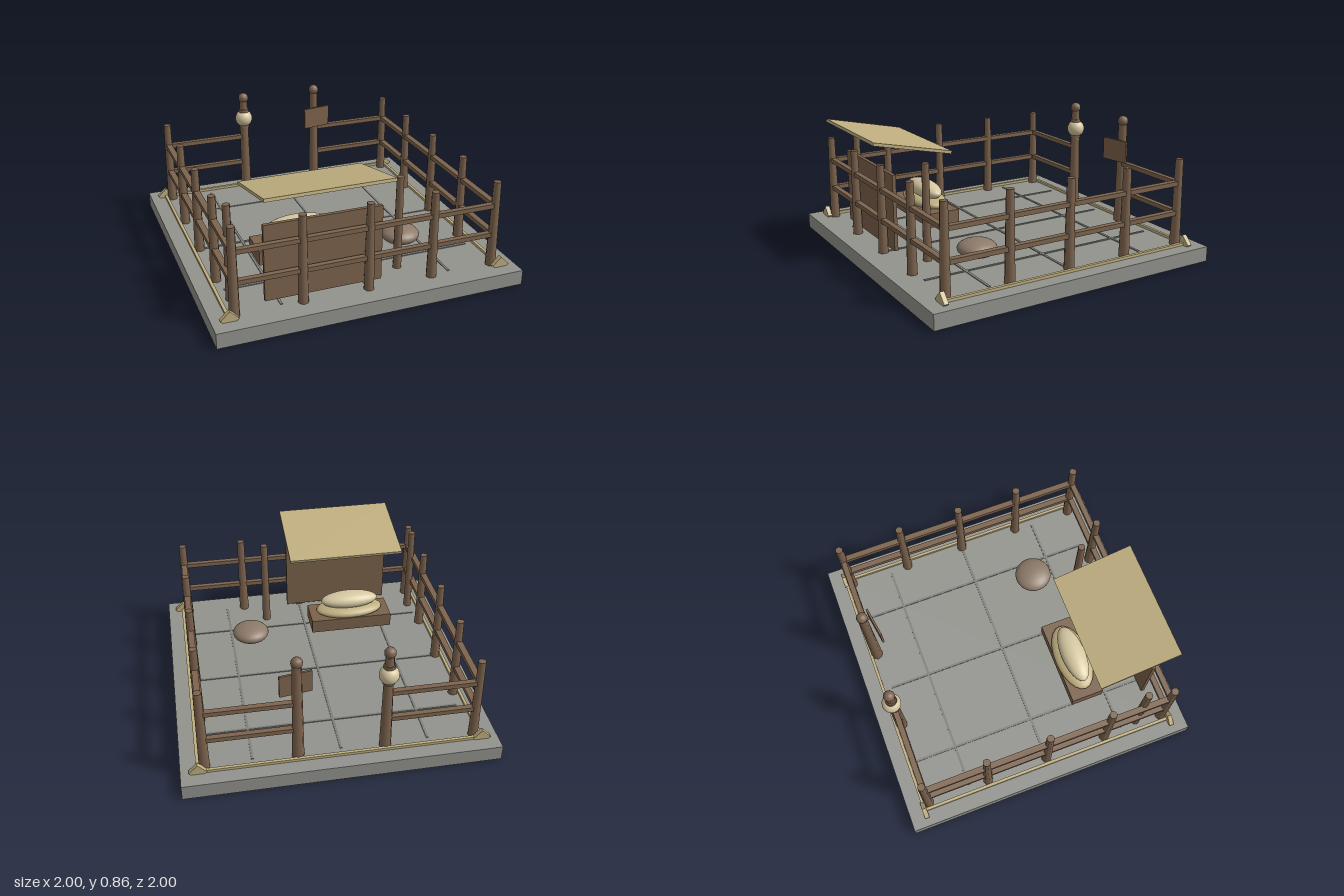
import * as THREE from 'three';

export function createModel() {
  const root = new THREE.Group();
  const mat = (name, color, flatShading = false) => {
    const m = new THREE.MeshStandardMaterial({ color, flatShading });
    m.name = name;
    return m;
  };
  const stone = mat('stone', 0x92938d);
  const joint = mat('joint', 0x7f807b);
  const wood = mat('wood', 0x7d644e);
  const plank = mat('plank', 0x7b624b);
  const straw = mat('straw', 0xbfae7f);
  const linen = mat('linen', 0xd6c8a2);
  const clay = mat('clay', 0x8d7a69);

  const add = (name, geo, m, x, y, z) => {
    const mesh = new THREE.Mesh(geo, m);
    mesh.name = name;
    mesh.position.set(x, y, z);
    root.add(mesh);
    return mesh;
  };
  const box = (name, m, w, h, d, x, y, z) => add(name, new THREE.BoxGeometry(w, h, d), m, x, y, z);
  const ellipsoid = (name, m, rx, ry, rz, x, y, z) =>
    add(name, new THREE.SphereGeometry(1, 24, 16).scale(rx, ry, rz), m, x, y, z);
  // Tapered eight-sided post standing on the slab
  const post = (name, x, z, top, r0 = 0.034, r1 = 0.025) =>
    add(name, new THREE.CylinderGeometry(r1, r0, top - 0.1, 8), wood, x, (top + 0.1) / 2, z);

  // Slab with raised joint lines
  box('slab', stone, 2, 0.1, 2, 0, 0.05, 0);
  for (const p of [-0.557, 0, 0.555]) {
    box('jointAlongZ', joint, 0.016, 0.006, 1.67, p, 0.102, 0);
    box('jointAlongX', joint, 1.67, 0.006, 0.016, 0, 0.102, p);
  }

  // Fence posts: both sides, then the front row between them
  const E = 0.85;
  for (const p of [-E, -0.425, 0, 0.425, E]) {
    for (const s of [-1, 1]) post('sidePost', s * E, p, 0.68);
    if (Math.abs(p) < E) post('frontPost', p, E, 0.68);
  }

  // Rails, with a gateway left open at the back
  for (const y of [0.32, 0.52]) {
    for (const s of [-1, 1]) {
      box('sideRail', wood, 0.04, 0.03, 2 * E, s * E, y, 0);
      box('backRail', wood, 0.575, 0.03, 0.036, s * 0.5625, y, -E);
    }
    box('frontRail', wood, 2 * E, 0.03, 0.036, 0, y, E);
  }

  // Gate posts with round finials
  for (const x of [-0.277, 0.273]) {
    post('gatePost', x, -E, 0.8, 0.039, 0.029);
    add('gateFinial', new THREE.SphereGeometry(0.037, 12, 8), wood, x, 0.818, -E);
  }

  // Lantern around the gate post, with small collars
  ellipsoid('lantern', linen, 0.062, 0.062, 0.062, -0.277, 0.66, -E - 0.004);
  for (const y of [0.604, 0.722])
    add('lanternCollar', new THREE.CylinderGeometry(0.036, 0.038, 0.02, 12), wood, -0.277, y, -E);

  // Sign board beside the gateway
  box('sign', plank, 0.205, 0.15, 0.014, 0.273, 0.62, -0.79).rotation.y = 0.16;

  // Straw edging on three sides and corner blocks set on edge
  for (const s of [-1, 1]) {
    box('sideEdging', straw, 0.02, 0.018, 1.79, s * 0.892, 0.109, 0);
    for (const t of [-1, 1])
      box('cornerBlock', straw, 0.08, 0.08, 0.03, s * 0.892, 0.113, t * 0.893).rotation.z = Math.PI / 4;
  }
  box('backEdging', straw, 1.79, 0.018, 0.02, 0, 0.109, -0.892);

  // Sloping canopy, its poles and the screen below it
  box('canopy', straw, 0.8, 0.02, 0.545, -0.28, 0.787, 0.674).rotation.x = -0.22;
  for (const x of [-0.825, 0.273]) post('canopyPole', x, 0.672, 0.73, 0.029, 0.024);
  box('screen', plank, 0.75, 0.5, 0.024, -0.277, 0.38, 0.802);

  // Bench with two cushions
  box('bench', plank, 0.575, 0.095, 0.22, -0.302, 0.243, 0.4);
  ellipsoid('lowerCushion', straw, 0.24, 0.048, 0.12, -0.302, 0.312, 0.4);
  ellipsoid('upperCushion', linen, 0.205, 0.058, 0.082, -0.302, 0.384, 0.4);

  // Round floor seat
  ellipsoid('floorSeat', clay, 0.128, 0.058, 0.128, 0.422, 0.18, 0.4);

  return root;
}
